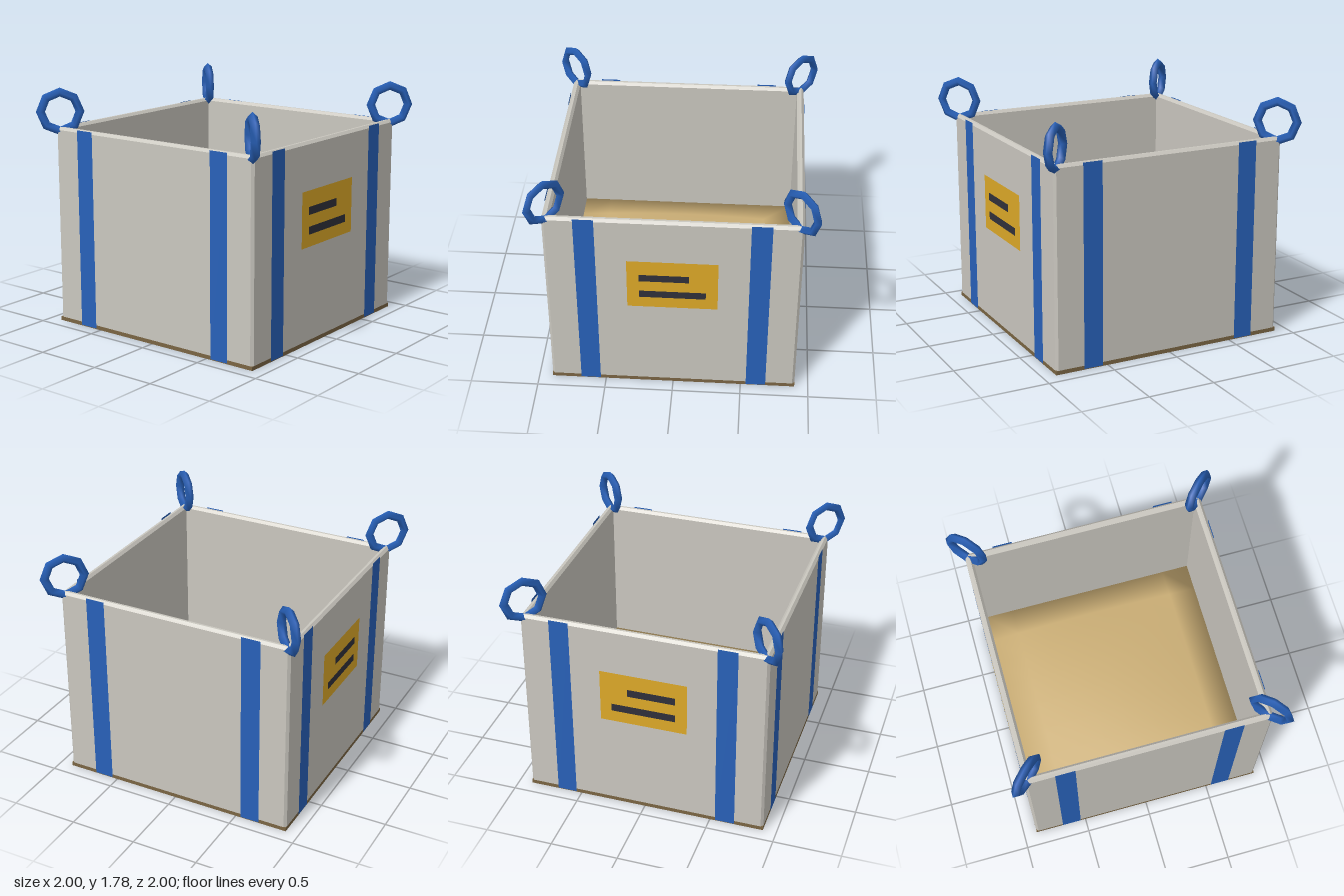
import * as THREE from 'three';
import { mergeVertices } from 'three/addons/utils/BufferGeometryUtils.js';

const mat = (name, color, side = THREE.FrontSide) => {
  const m = new THREE.MeshStandardMaterial({ color, side });
  m.name = name;
  return m;
};

export function createModel() {
  const fabric = mat('grey fabric', 0xcac7bf);
  const webbing = mat('blue webbing', 0x2861b9, THREE.DoubleSide);
  const yellow = mat('yellow label', 0xdda928);
  const ink = mat('dark ink', 0x30303a);
  const brown = mat('brown base', 0x7a6543);
  const sand = mat('sand', 0xcdb077);

  const root = new THREE.Group();
  root.name = 'bulkBag';
  const add = (parent, name, geo, material, x = 0, y = 0, z = 0) => {
    const m = new THREE.Mesh(geo, material);
    m.name = name;
    m.position.set(x, y, z);
    parent.add(m);
    return m;
  };

  // Base slab
  add(root, 'base', new THREE.BoxGeometry(1.8, 0.03, 1.8), brown, 0, 0.015, 0);

  // Four walls as one frame with chamfered corners and rim
  const c = 0.018, r = 0.9, inner = 0.847;
  const outline = new THREE.Shape([
    [r, -r + c], [r, r - c], [r - c, r], [-r + c, r],
    [-r, r - c], [-r, -r + c], [-r + c, -r], [r - c, -r],
  ].map(([x, y]) => new THREE.Vector2(x, y)));
  outline.holes.push(new THREE.Path([
    [-inner, -inner], [-inner, inner], [inner, inner], [inner, -inner],
  ].map(([x, y]) => new THREE.Vector2(x, y))));
  const frame = new THREE.ExtrudeGeometry(outline, {
    depth: 1.44, bevelEnabled: true, bevelThickness: 0.02, bevelSize: c,
    bevelOffset: -c, bevelSegments: 1,
  });
  frame.rotateX(-Math.PI / 2);
  add(root, 'walls', frame, fabric, 0, 0.03, 0);

  // Contents: a softly mounded block with smooth normals
  const half = 0.845, height = 0.35;
  let fill = new THREE.BoxGeometry(half * 2, height, half * 2, 8, 1, 8);
  fill.translate(0, height / 2 + 0.001, 0);
  fill.deleteAttribute('normal');
  fill.deleteAttribute('uv');
  fill = mergeVertices(fill);
  const p = fill.attributes.position;
  for (let i = 0; i < p.count; i++) {
    if (p.getY(i) < 0.1) continue;
    const x = p.getX(i), z = p.getZ(i);
    const dome = (1 - (x / half) ** 2) * (1 - (z / half) ** 2);
    p.setY(i, height + 0.09 * dome);
  }
  fill.computeVertexNormals();
  add(root, 'contents', fill, sand);

  // Two vertical straps on each side
  const strapGeo = new THREE.PlaneGeometry(0.145, 1.482);
  for (let side = 0; side < 4; side++) {
    const g = new THREE.Group();
    g.name = 'strapPair';
    g.rotation.y = side * Math.PI / 2;
    for (const s of [-1, 1]) add(g, 'strap', strapGeo, webbing, s * 0.612, 0.747, 0.902);
    root.add(g);
  }

  // Labels with two printed bars, front and back
  const plates = [
    ['label', 0.643, 0.41, yellow, -0.002, 0.935, 0.902],
    ['shortBar', 0.355, 0.058, ink, -0.062, 0.993, 0.904],
    ['longBar', 0.473, 0.058, ink, -0.002, 0.849, 0.904],
  ];
  for (const s of [1, -1]) for (const [name, w, h, material, x, y, z] of plates) {
    const plate = add(root, name, new THREE.PlaneGeometry(w, h), material, x, y, s * z);
    if (s < 0) plate.rotation.y = Math.PI;
  }

  // Lifting loops set diagonally on the corners
  const loopGeo = new THREE.TorusGeometry(0.144, 0.033, 4, 8);
  for (const sx of [-1, 1]) for (const sz of [-1, 1]) {
    const loop = add(root, 'liftingLoop', loopGeo, webbing, sx * 0.875, 1.603, sz * 0.875);
    loop.rotation.y = -sx * sz * Math.PI / 4;
  }
  return root;
}
